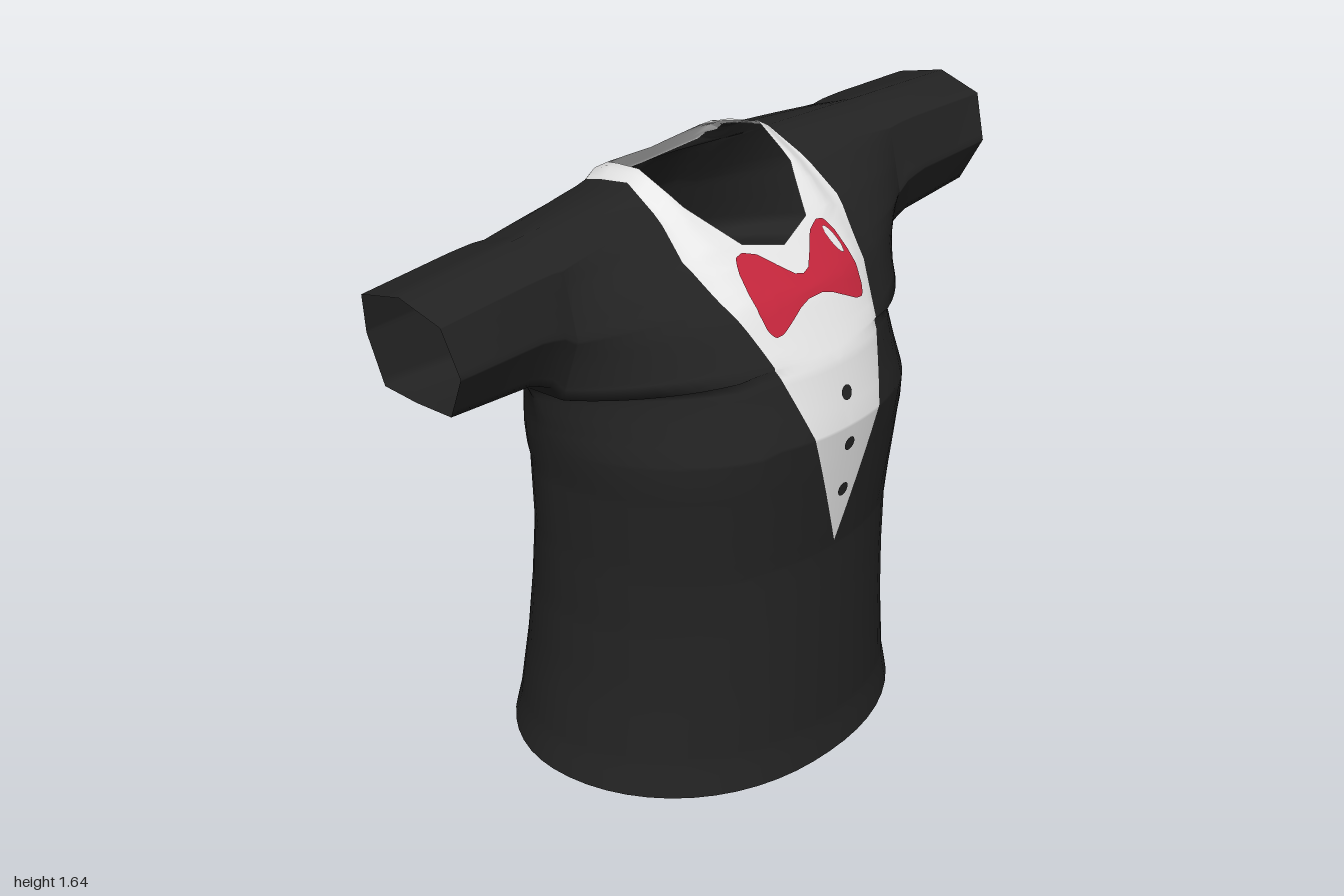
import * as THREE from 'three';
import { mergeGeometries, mergeVertices } from 'three/addons/utils/BufferGeometryUtils.js';

const lerp = THREE.MathUtils.lerp;

// Piecewise linear lookup in a list of [position, value] knots.
function at(knots, t) {
  if (t <= knots[0][0]) return knots[0][1];
  for (let i = 1; i < knots.length; i++) {
    const [a, va] = knots[i - 1], [b, vb] = knots[i];
    if (t <= b) return lerp(va, vb, (t - a) / (b - a));
  }
  return knots[knots.length - 1][1];
}

const TOP = 1.64, ARMPIT = 1.22, ARM_X = 0.61;

// Half width of the torso and height of the shoulder line
const WIDTH = [[0, 0.575], [0.1, 0.555], [0.3, 0.53], [0.5, 0.52], [0.7, 0.525], [0.92, 0.54],
  [1.1, 0.57], [1.18, 0.59], [ARMPIT, ARM_X]];
const SHOULDER = [[0.22, TOP], [0.26, 1.615], [0.4, 1.605], [ARM_X, 1.59]];

// Centre profile, sleeve section, neckline and white print edge for each sheet
const FRONT = {
  dir: 1,
  centre: [[0, 0.437], [0.1, 0.425], [0.65, 0.428], [1.03, 0.475], [1.2, 0.43], [1.36, 0.335],
    [1.48, 0.215], [1.57, 0.09], [TOP, -0.04]],
  arm: [[0, -0.05], [0.02, 0.07], [0.45, 0.13], [0.88, 0.09], [1, -0.04]],
  neck: [[1.45, 0], [1.48, 0.12], [1.57, 0.2], [TOP, 0.22]],
  print: [[0.67, 0], [1.5, 0.29], [TOP, 0.26]],
};
const BACK = {
  dir: -1,
  centre: [[0, -0.475], [0.3, -0.43], [0.5, -0.4], [0.7, -0.36], [0.92, -0.345], [1.1, -0.385],
    [1.27, -0.37], [1.4, -0.32], [1.55, -0.23], [1.6, -0.2], [1.62, -0.14], [TOP, -0.04]],
  arm: [[0, -0.05], [0.02, -0.16], [0.5, -0.19], [0.87, -0.18], [1, -0.04]],
  neck: [[1.585, 0], [1.6, 0.17], [TOP, 0.22]],
  print: [[1.535, 0], [1.545, 0.2], [1.58, 0.25], [TOP, 0.26]],
};

const armV = s => (s - ARMPIT) / (TOP - ARMPIT);

// Point on a torso sheet at half-width x and level s
function torso(sheet, x, s) {
  const u = Math.min(1, Math.abs(x) / at(WIDTH, s));
  const k = THREE.MathUtils.smoothstep(s, 0.95, 1.35);
  const bulge = Math.pow(Math.max(0, 1 - Math.pow(u, 2.2)), lerp(0.5, 1, k));
  const edge = at(sheet.arm, armV(s));
  const z = lerp(edge, at(sheet.centre, s), bulge);
  const hem = Math.max(0, 1 - s / 0.1) * (0.437 - z) * 0.028;
  return [x, s * at(SHOULDER, Math.abs(x)) / TOP + hem, z];
}

// Point on a sleeve, b running from armhole to cuff
function sleeve(sheet, b, s) {
  const v = armV(s);
  const under = at([[0, ARMPIT * 1.59 / TOP], [0.1, 1.23], [0.27, 1.26], [1, 1.278]], b);
  return [lerp(ARM_X, 0.96 + 0.04 * v, b), lerp(under, lerp(1.59, 1.565, b), v), at(sheet.arm, v)];
}

// Indexed grid from a point rule
function grid(cols, rows, rule, flip) {
  const pos = [], index = [];
  for (let j = 0; j <= rows; j++) for (let i = 0; i <= cols; i++) pos.push(...rule(i, j));
  for (let j = 0; j < rows; j++) for (let i = 0; i < cols; i++) {
    const a = j * (cols + 1) + i, b = a + 1, c = a + cols + 1, d = c + 1;
    index.push(...(flip ? [a, d, b, a, c, d] : [a, b, d, a, d, c]));
  }
  const g = new THREE.BufferGeometry();
  g.setAttribute('position', new THREE.Float32BufferAttribute(pos, 3));
  g.setIndex(index);
  return g;
}

// Levels of the rows: an even spacing plus every knot
function levels() {
  const set = new Set();
  const add = s => set.add(+s.toFixed(4));
  for (let s = 0; s < TOP; s += 0.06) add(s);
  for (const sh of [FRONT, BACK]) {
    for (const list of [sh.centre, sh.neck, sh.print, WIDTH]) list.forEach(k => add(k[0]));
    sh.arm.forEach(k => add(lerp(ARMPIT, TOP, k[0])));
  }
  return [...set].sort((a, b) => a - b);
}

const blackX = (sheet, a, s) => lerp(at(sheet.print, s), at(WIDTH, s), Math.sin(a * Math.PI / 2));

export function createModel() {
  const mat = (name, color) => {
    const m = new THREE.MeshStandardMaterial({ color, side: THREE.DoubleSide });
    m.name = name;
    return m;
  };
  const black = mat('black cloth', 0x232323);
  const white = mat('white cloth', 0xe6e6e6);
  const red = mat('red cloth', 0xc4263c);

  const group = new THREE.Group();
  group.name = 'shirt';
  const addMesh = (name, geometry, material) => {
    const mesh = new THREE.Mesh(geometry, material);
    mesh.name = name;
    group.add(mesh);
  };

  // Shirt body, sleeves and white front and collar as one smooth skin
  const rows = levels();
  const blackParts = [], whiteParts = [];
  for (const sheet of [FRONT, BACK]) for (const side of [1, -1]) {
    const flip = sheet.dir * side < 0;
    const mirror = ([x, y, z]) => [x * side, y, z];
    blackParts.push(grid(14, rows.length - 1,
      (i, j) => mirror(torso(sheet, blackX(sheet, i / 14, rows[j]), rows[j])), flip));
    const arm = rows.filter(s => s >= ARMPIT);
    blackParts.push(grid(10, arm.length - 1, (i, j) => mirror(sleeve(sheet, i / 10, arm[j])), flip));
    const print = rows.filter(s => s >= sheet.print[0][0]);
    whiteParts.push(grid(8, print.length - 1, (i, j) => {
      const s = print[j];
      return mirror(torso(sheet, lerp(at(sheet.neck, s), at(sheet.print, s), i / 8), s));
    }, flip));
  }
  const skin = mergeVertices(
    mergeGeometries([mergeGeometries(blackParts), mergeGeometries(whiteParts)], true), 1e-4);
  skin.computeVertexNormals();
  addMesh('shirtBody', skin, [black, white]);

  // Closed underside
  const base = grid(28, 1, (i, j) => {
    const x = Math.sin((i / 14 - 1) * Math.PI / 2) * at(WIDTH, 0);
    return torso(j ? FRONT : BACK, x, 0);
  }, false);
  base.computeVertexNormals();
  addMesh('underside', base, black);

  // Thin printed details laid on both faces of the front
  const onFront = (x, y, off) => {
    const p = torso(FRONT, x, y);
    return [x, p[1] + off * 0.5, p[2] + off * 0.85];
  };
  const decal = (name, material, cols, x0, x1, low, high, lift = 0.005) => {
    for (const off of [lift, -lift]) {
      const g = grid(cols, 8, (i, j) => {
        const x = lerp(x0, x1, i / cols);
        return onFront(x, lerp(low(x), high(x), j / 8), off);
      }, off < 0);
      g.computeVertexNormals();
      addMesh(name, g, material);
    }
  };

  // Bow tie with its highlight
  const bowTop = [[0, 0.018], [0.025, 0.024], [0.06, 0.05], [0.1, 0.082], [0.14, 0.095],
    [0.165, 0.09], [0.18, 0.065], [0.187, 0.02]];
  const bowLow = [[0, 0.03], [0.025, 0.03], [0.06, 0.04], [0.1, 0.06], [0.14, 0.08],
    [0.165, 0.083], [0.18, 0.065], [0.187, 0.02]];
  decal('bowTie', red, 60, -0.187, 0.187,
    x => 1.372 - at(bowLow, Math.abs(x)), x => 1.372 + at(bowTop, Math.abs(x)));
  const glint = x => 0.026 * Math.sqrt(Math.max(0, 1 - ((x - 0.155) / 0.016) ** 2));
  decal('bowHighlight', white, 10, 0.139, 0.171,
    x => 1.42 - (x - 0.155) - glint(x), x => 1.42 - (x - 0.155) + glint(x), 0.008);

  // Buttons
  for (const y of [1.11, 0.97, 0.83]) {
    const r = 0.019, half = x => Math.sqrt(Math.max(0, r * r - x * x));
    decal('button', black, 12, -r, r, x => y - half(x), x => y + half(x));
  }
  return group;
}
